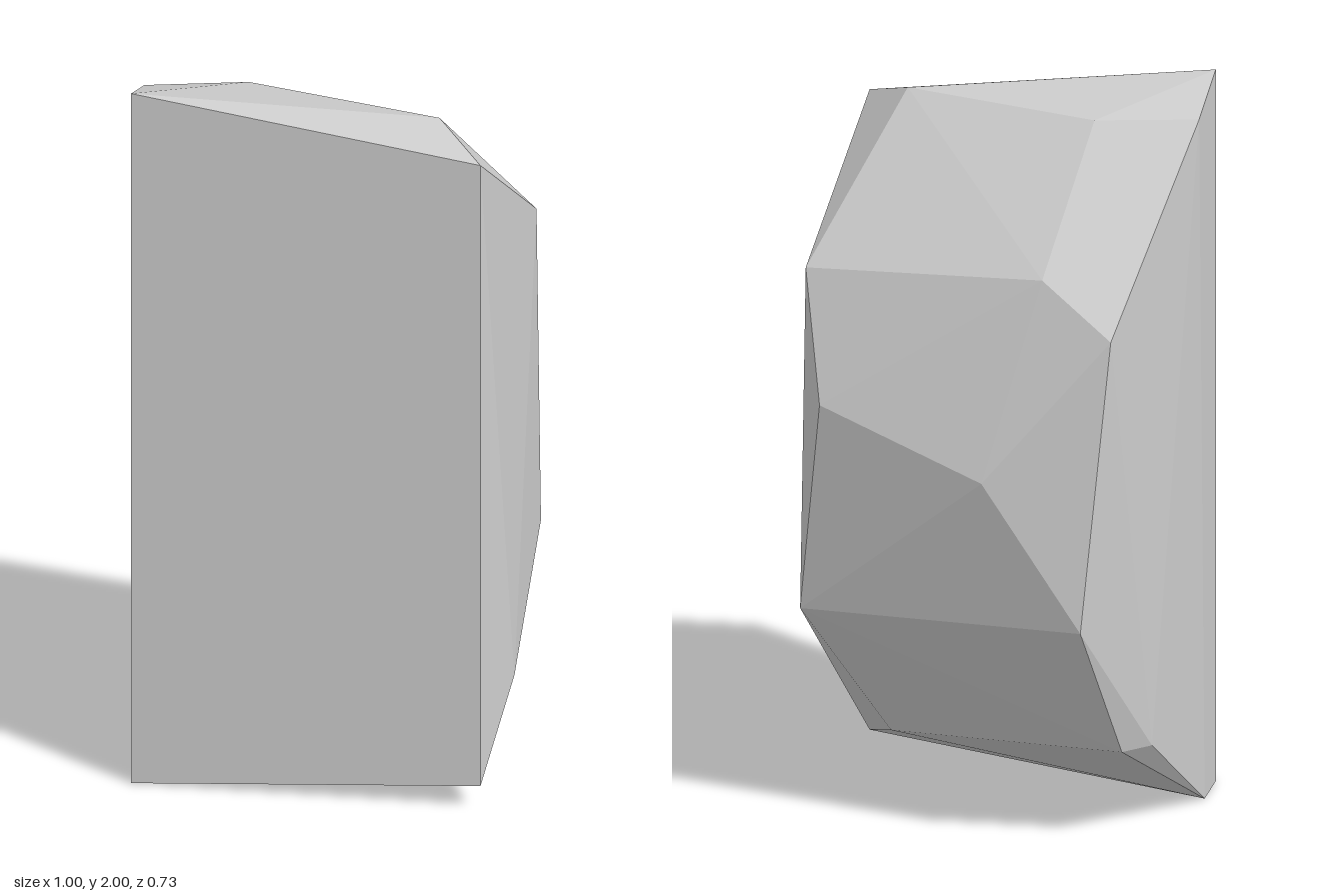
import * as THREE from 'three';
import { ConvexGeometry } from 'three/addons/geometries/ConvexGeometry.js';

// Corners [x, y, z] of the faceted stone, grouped by region.
const flatFront = [[-0.5, 2, 0.367], [0.433, 1.867, 0.367], [0.433, 0.067, 0.367], [-0.5, 0, 0.367]];
const crown = [[0.3, 1.933, 0.233], [-0.233, 1.933, 0.1], [-0.5, 1.933, 0.167]];
const shoulder = [[0.5, 1.533, -0.1], [-0.167, 1.6, -0.233], [-0.367, 1.467, -0.3]];
const bulge = [[0.433, 1.2, -0.233], [-0.033, 1.067, -0.367], [-0.3, 0.667, -0.367], [0.5, 0.6, -0.167]];
const foot = [[0.5, 0.333, 0.233], [0.3, 0.2, 0.033], [-0.367, 0.267, -0.167], [-0.433, 0.267, -0.1], [-0.5, 0, 0.233]];

export function createModel() {
  const group = new THREE.Group();
  group.name = 'rock';

  // One convex stone: flat front slab face, rounded faceted back
  const corners = [...flatFront, ...crown, ...shoulder, ...bulge, ...foot];
  const geometry = new ConvexGeometry(corners.map((c) => new THREE.Vector3(...c)));
  const material = new THREE.MeshStandardMaterial({ color: 0xcccccc, flatShading: true });
  const stone = new THREE.Mesh(geometry, material);
  stone.name = 'stone';
  group.add(stone);

  return group;
}
